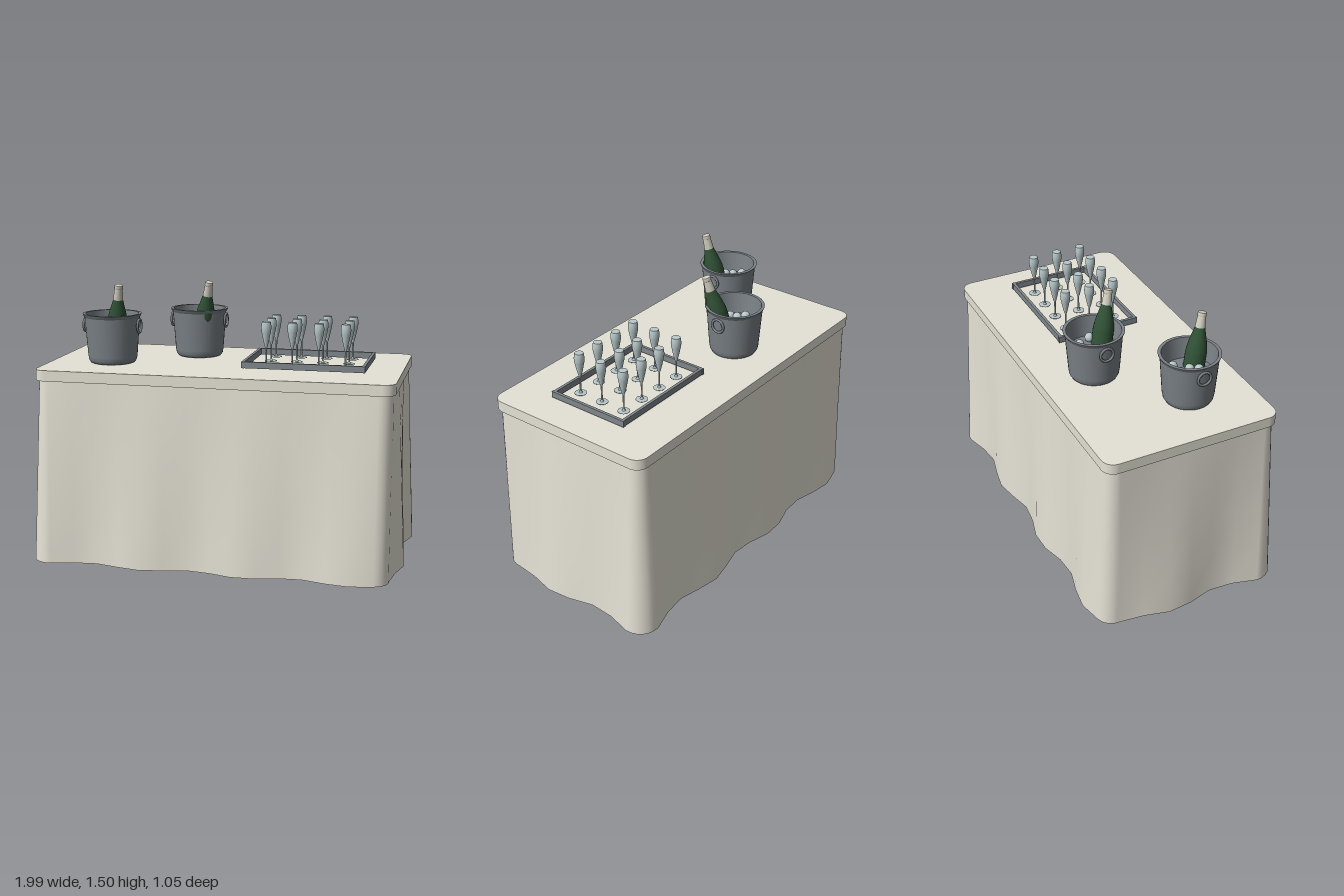
import * as THREE from 'three';

const mat = (name, color, side = THREE.FrontSide) => {
  const m = new THREE.MeshStandardMaterial({ color, side });
  m.name = name;
  return m;
};

function add(parent, name, geometry, material, x = 0, y = 0, z = 0) {
  const mesh = new THREE.Mesh(geometry, material);
  mesh.name = name;
  mesh.position.set(x, y, z);
  parent.add(mesh);
  return mesh;
}

const lathe = (pts, segments) =>
  new THREE.LatheGeometry(pts.map(([r, y]) => new THREE.Vector2(r, y)), segments);

// Flat slab with rounded corners, standing on y = 0
function slab(hx, hz, r, height) {
  const s = new THREE.Shape();
  s.absarc(hx - r, hz - r, r, 0, Math.PI / 2);
  s.absarc(-hx + r, hz - r, r, Math.PI / 2, Math.PI);
  s.absarc(-hx + r, -hz + r, r, Math.PI, Math.PI * 1.5);
  s.absarc(hx - r, -hz + r, r, Math.PI * 1.5, Math.PI * 2);
  const g = new THREE.ExtrudeGeometry(s, { depth: height, bevelEnabled: false, curveSegments: 8 });
  return g.rotateX(-Math.PI / 2);
}

// Outline of a rounded rectangle with outward normals and running length
function outline(hx, hz, r) {
  const corners = [[-1, 1, Math.PI], [1, 1, Math.PI * 1.5], [1, -1, 0], [-1, -1, Math.PI / 2]];
  const pts = [];
  let s = 0;
  corners.forEach(([sx, sz, a0], c) => {
    for (let i = 0; i <= 6; i++) {
      const a = a0 + (i / 6) * Math.PI / 2;
      const nx = Math.cos(a), nz = -Math.sin(a);
      pts.push({ x: sx * (hx - r) + r * nx, z: sz * (hz - r) + r * nz, nx, nz, s });
      if (i < 6) s += r * Math.PI / 12;
    }
    const last = pts[pts.length - 1];
    const along = c % 2 === 0 ? 2 * (hx - r) : 2 * (hz - r);
    const n = c % 2 === 0 ? 14 : 6;
    const dx = [1, 0, -1, 0][c], dz = [0, -1, 0, 1][c];
    for (let i = 1; i < n; i++) {
      const d = along * i / n;
      pts.push({ x: last.x + dx * d, z: last.z + dz * d, nx: last.nx, nz: last.nz, s: s + d });
    }
    s += along;
  });
  return { pts, total: s };
}

// Open cloth whose ten folds swell towards the hem
function clothGeometry(top, bottom) {
  const r = 0.07, rows = 4;
  const { pts, total } = outline(0.945, 0.472, r);
  const n = pts.length, pos = [], index = [];
  for (let j = 0; j <= rows; j++) {
    const t = j / rows;
    for (const p of pts) {
      const fold = Math.cos((p.s - r * Math.PI / 4) / total * 20 * Math.PI);
      const d = t * (0.026 + 0.027 * fold);
      pos.push(p.x + p.nx * d, top + (bottom - top) * t, p.z + p.nz * d);
    }
  }
  for (let j = 0; j < rows; j++) {
    for (let i = 0; i < n; i++) {
      const k = (i + 1) % n, a = j * n, b = a + n;
      index.push(b + i, b + k, a + k, b + i, a + k, a + i);
    }
  }
  const g = new THREE.BufferGeometry();
  g.setAttribute('position', new THREE.Float32BufferAttribute(pos, 3));
  g.setIndex(index);
  g.computeVertexNormals();
  return g;
}

export function createModel() {
  const linen = mat('linen', 0xe5e2d5, THREE.DoubleSide);
  const steel = mat('bucket steel', 0x7a8186);
  const silver = mat('tray silver', 0x80878b);
  const glass = mat('glass', 0xb9c8ca);
  const green = mat('green bottle glass', 0x2f5035);
  const foil = mat('pale foil', 0xd0ccbe);

  const model = new THREE.Group();
  model.name = 'servingTable';

  // Table
  add(model, 'tableCloth', clothGeometry(1.012, 0.012), linen);
  add(model, 'tableTop', slab(0.957, 0.483, 0.065, 0.058), linen, 0, 1.008, 0);

  // Ice buckets with bottles
  const bucketGeo = lathe([
    [0, 0], [0.112, 0], [0.122, 0.005], [0.13, 0.018], [0.134, 0.04], [0.15, 0.25],
    [0.15, 0.25], [0.158, 0.262], [0.16, 0.269],
    [0.16, 0.269], [0.143, 0.269], [0.143, 0.269], [0.13, 0.155], [0.13, 0.155], [0, 0.155],
  ], 40);
  const ringGeo = new THREE.TorusGeometry(0.036, 0.007, 8, 24).rotateY(Math.PI / 2);
  const ballGeo = new THREE.SphereGeometry(0.025, 12, 8);
  const bottleGeo = lathe([
    [0, 0], [0.05, 0], [0.055, 0.006], [0.055, 0.2], [0.053, 0.225], [0.046, 0.262],
    [0.036, 0.3], [0.028, 0.33], [0.025, 0.345],
  ], 24);
  const foilGeo = lathe([
    [0.0265, 0.335], [0.023, 0.38], [0.021, 0.398], [0.021, 0.398], [0.0228, 0.4],
    [0.0228, 0.412], [0.021, 0.418], [0.021, 0.418], [0, 0.42],
  ], 24);
  const buckets = [
    { x: -0.62, z: 0.142, tip: [-0.545, 1.502, 0.25], lean: [0.12, 1, 0.2],
      ice: [[-0.02, -0.1], [0.06, -0.06], [-0.09, -0.03], [0, -0.04], [-0.06, 0.01], [-0.03, 0.04], [0.01, 0.01]] },
    { x: -0.215, z: -0.19, tip: [-0.127, 1.495, -0.063], lean: [0.18, 1, 0.23],
      ice: [[0.015, -0.08], [-0.055, -0.07], [-0.075, -0.02], [-0.055, 0.02], [0.045, -0.06], [0.075, 0.01], [-0.045, 0.06]] },
  ];
  for (const b of buckets) {
    const g = new THREE.Group();
    g.name = 'iceBucket';
    g.position.set(b.x, 1.066, b.z);
    model.add(g);
    add(g, 'bucketBody', bucketGeo, steel);
    for (const side of [-1, 1]) add(g, 'bucketHandle', ringGeo, steel, side * 0.153, 0.203, 0);
    b.ice.forEach(([x, z], i) => add(g, 'iceBall', ballGeo, glass, x, 0.166 + (i % 3) * 0.006, z));

    // Leaning bottle, placed by its tip
    const axis = new THREE.Vector3(...b.lean).normalize();
    const bottle = new THREE.Group();
    bottle.name = 'bottle';
    bottle.quaternion.setFromUnitVectors(new THREE.Vector3(0, 1, 0), axis);
    bottle.position.set(...b.tip).addScaledVector(axis, -0.42);
    add(bottle, 'bottleBody', bottleGeo, green);
    add(bottle, 'bottleFoil', foilGeo, foil);
    model.add(bottle);
  }

  // Tray rim, and its floor plate under the table
  const tray = new THREE.Group();
  tray.name = 'tray';
  tray.position.set(0.447, 0, 0);
  model.add(tray);
  const longRail = new THREE.BoxGeometry(0.656, 0.034, 0.016);
  const shortRail = new THREE.BoxGeometry(0.016, 0.034, 0.472);
  for (const side of [-1, 1]) {
    add(tray, 'trayLongRail', longRail, silver, 0, 1.094, side * 0.225);
    add(tray, 'trayShortRail', shortRail, silver, side * 0.32, 1.094, 0);
  }
  add(tray, 'trayFloor', slab(0.33, 0.235, 0.06, 0.014), silver);

  // Flutes in a four by three grid
  const fluteGeo = lathe([
    [0, 0], [0.032, 0], [0.032, 0.002], [0.032, 0.002], [0.01, 0.004], [0.01, 0.004], [0.0045, 0.014],
    [0.0045, 0.092], [0.009, 0.106], [0.017, 0.14], [0.025, 0.18], [0.0275, 0.2],
    [0.026, 0.22], [0.023, 0.234], [0.023, 0.234], [0, 0.234],
  ], 20);
  for (const x of [0.235, 0.376, 0.518, 0.66]) {
    for (const z of [-0.143, 0, 0.143]) add(model, 'flute', fluteGeo, glass, x, 1.081, z);
  }
  return model;
}
